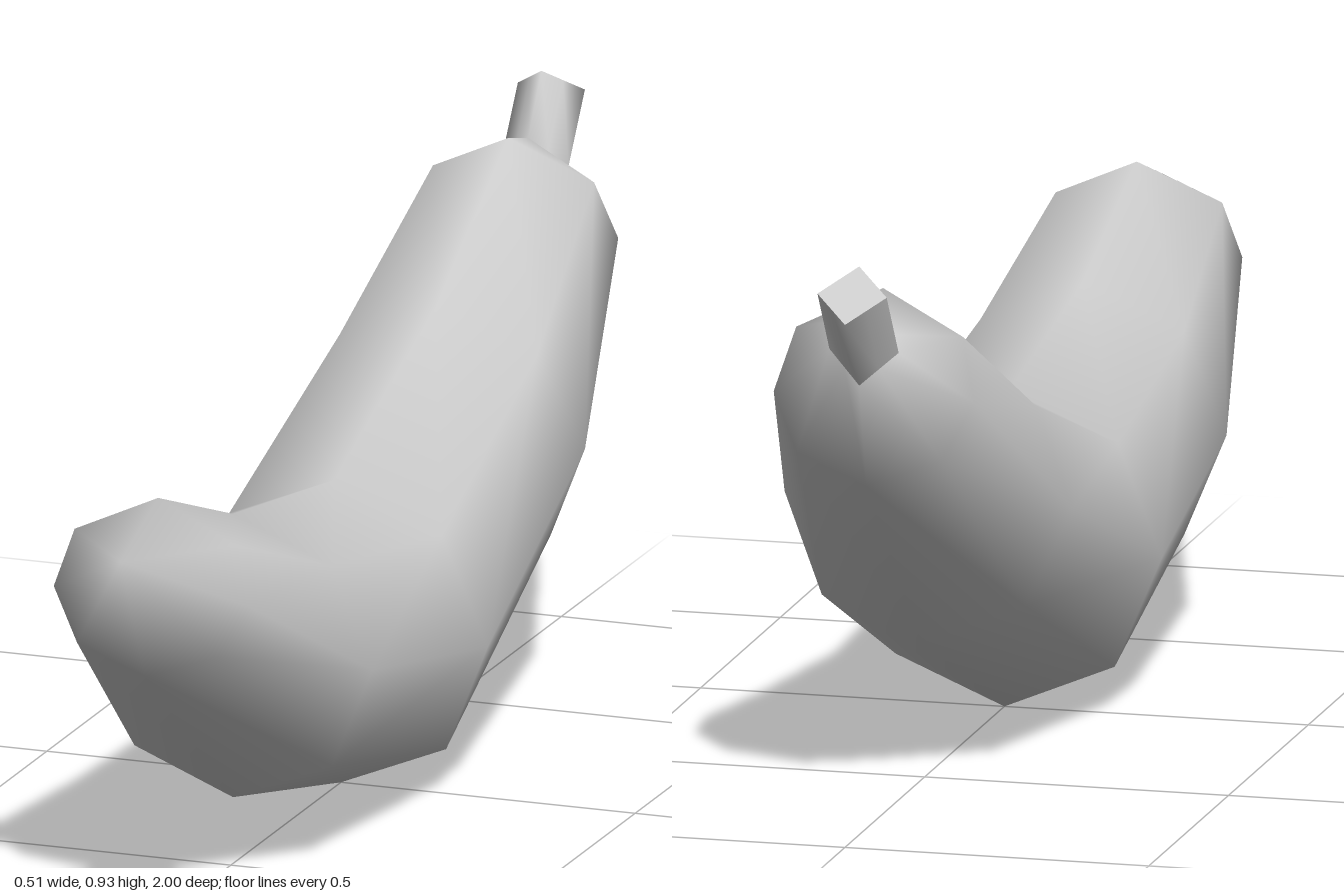
import * as THREE from 'three';

// Half cross-sections from top to bottom: [share of width, share of height]
const ROUND = [[0, 1], [0.707, 0.707], [1, 0], [0.707, -0.707], [0, -1]];
const SNUB = [[0, 1], [0.83, 0.56], [1, -0.1], [0.72, -0.7], [0, -1]];
const DIAMOND = [[0, 1], [0.5, 0.5], [1, 0], [0.5, -0.5], [0, -1]];
const SIDES = 8;

// One ring of 8 points from its top (z, y), bottom (z, y) and half width
function ring([tz, ty, bz, by, w, shape]) {
  const full = [...shape, ...shape.slice(1, 4).reverse().map(([x, u]) => [-x, u])];
  return full.map(([x, u]) => [
    x * w,
    (ty + by) / 2 + u * (ty - by) / 2,
    (tz + bz) / 2 + u * (tz - bz) / 2,
  ]);
}

// Skin over rings running front to back, with optional end points
function loft(specs, frontPoint, backPoint) {
  const points = specs.flatMap(ring);
  const index = [];
  const last = (specs.length - 1) * SIDES;
  for (let j = 0; j < SIDES; j++) {
    const k = (j + 1) % SIDES;
    for (let r = 0; r < last; r += SIDES) {
      index.push(r + j, r + k, r + SIDES + j, r + k, r + SIDES + k, r + SIDES + j);
    }
    if (frontPoint) index.push(specs.length * SIDES, k, j);
    if (backPoint) index.push(specs.length * SIDES, last + j, last + k);
  }
  if (frontPoint) points.push(frontPoint);
  if (backPoint) points.push(backPoint);
  const geometry = new THREE.BufferGeometry();
  geometry.setAttribute('position', new THREE.Float32BufferAttribute(points.flat(), 3));
  geometry.setIndex(index);
  geometry.computeVertexNormals();
  return geometry;
}

export function createModel() {
  const group = new THREE.Group();
  group.name = 'banana';
  const skin = new THREE.MeshStandardMaterial({ color: 0xcccccc });
  skin.name = 'lightGrey';

  const add = (name, geometry) => {
    const mesh = new THREE.Mesh(geometry, skin);
    mesh.name = name;
    group.add(mesh);
  };

  const stemBase = [-0.85, 0.835, -0.91, 0.735, 0.057, DIAMOND];
  const stemEnd = [-0.91, 0.93, -1, 0.855, 0.057, DIAMOND];

  // Curved fruit, pointed at the front and narrowing to the stem
  add('fruit', loft([
    [0.83, 0.7, 0.89, 0.42, 0.165, SNUB],
    [0.49, 0.58, 0.49, 0.11, 0.237, ROUND],
    [0.03, 0.51, 0, 0, 0.255, ROUND],
    [-0.43, 0.67, -0.52, 0.225, 0.237, ROUND],
    [-0.76, 0.86, -0.865, 0.56, 0.165, SNUB],
    stemBase,
  ], [0, 0.64, 1]));

  // Four-sided stem and its cut end
  add('stem', loft([stemBase, stemEnd]));
  add('stemEnd', loft([stemEnd], null, [0, 0.8925, -0.955]));
  return group;
}
